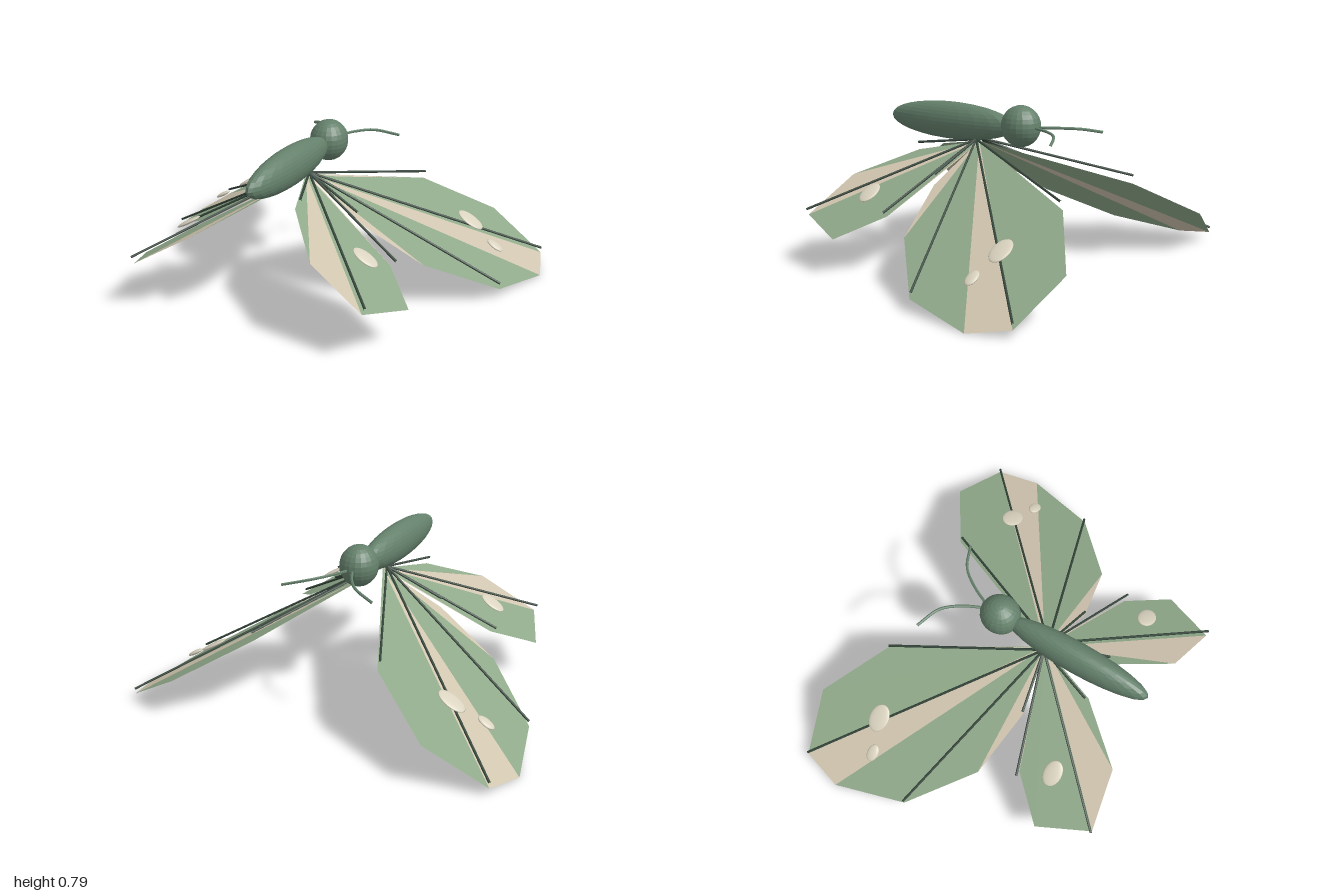
import * as THREE from 'three';

const mat = (color, extra = {}) => new THREE.MeshStandardMaterial({ color, ...extra });
const V = (a) => new THREE.Vector3(...a);

// Wing outlines as [x, z], veins as end points [x, y, z], spots as [x, y, z, rx, rz]
const WINGS = {
  foreWing: {
    outline: [[0.09, -0.02], [0.33, -0.55], [0.65, -0.765], [0.94, -0.69], [1, -0.49], [0.905, -0.13], [0.615, 0.13], [0.3, 0.195]],
    veins: [[0.34, 0.432, -0.545], [0.94, 0.062, -0.69], [0.905, 0.083, -0.135], [0.3, 0.46, 0.195]],
    spots: [[0.64, 0.258, -0.427, 0.074, 0.05], [0.79, 0.165, -0.38, 0.046, 0.029]],
  },
  hindWing: {
    outline: [[0.12, 0.17], [0.52, 0.31], [0.695, 0.5], [0.585, 0.755], [0.31, 0.7], [0.1, 0.44]],
    veins: [[0.55, 0.305, 0.31], [0.6, 0.272, 0.755], [0.12, 0.568, 0.43]],
    spots: [[0.465, 0.368, 0.462, 0.068, 0.045]],
  },
};
const SLOPE = 0.585;

export function createModel() {
  const model = new THREE.Group();
  const bodyMat = mat(0x64806b, { flatShading: true });
  const veinMat = mat(0x35463b);
  const greenMat = mat(0x8fa889, { side: THREE.DoubleSide });
  const creamMat = mat(0xcfc4ae, { side: THREE.DoubleSide });
  const spotMat = mat(0xd9d2bf);

  const add = (parent, name, geometry, material) => {
    const mesh = new THREE.Mesh(geometry, material);
    mesh.name = name;
    parent.add(mesh);
    return mesh;
  };

  // Body and head
  const body = add(model, 'body', new THREE.SphereGeometry(1, 24, 16), bodyMat);
  body.scale.set(0.072, 0.094, 0.38);
  body.position.set(0, 0.674, 0.31);
  const head = add(model, 'head', new THREE.SphereGeometry(1, 20, 14), bodyMat);
  head.scale.set(0.094, 0.102, 0.1);
  head.position.set(0, 0.683, -0.107);

  // Fan of triangles from the wing root; every third one is cream
  const membrane = (outline, s, cream) => {
    const root = [0, 0.585, 0.14];
    const at = ([x, z]) => [s * x, 0.585 - SLOPE * x, z];
    const pos = [];
    outline.forEach((p, i) => {
      if (i === outline.length - 1 || (i % 3 === 0) !== cream) return;
      const a = at(p), b = at(outline[i + 1]);
      pos.push(...root, ...(s > 0 ? b : a), ...(s > 0 ? a : b));
    });
    const geometry = new THREE.BufferGeometry();
    geometry.setAttribute('position', new THREE.Float32BufferAttribute(pos, 3));
    geometry.computeVertexNormals();
    return geometry;
  };

  for (const s of [1, -1]) {
    const side = s > 0 ? 'left' : 'right';
    for (const [name, wing] of Object.entries(WINGS)) {
      const group = new THREE.Group();
      group.name = `${side} ${name}`;
      model.add(group);
      add(group, 'greenPanels', membrane(wing.outline, s, false), greenMat);
      add(group, 'creamPanels', membrane(wing.outline, s, true), creamMat);

      // Straight veins lying just above the membrane
      for (const [x, y, z] of wing.veins) {
        const line = new THREE.LineCurve3(V([s * 0.02, 0.596, 0.145]), V([s * x, y, z]));
        add(group, 'vein', new THREE.TubeGeometry(line, 1, 0.006, 6), veinMat);
      }

      // Flattened spots tilted with the wing
      for (const [x, y, z, rx, rz] of wing.spots) {
        const spot = add(group, 'spot', new THREE.SphereGeometry(1, 20, 10), spotMat);
        spot.scale.set(rx, 0.01, rz);
        spot.rotation.z = -s * Math.atan(SLOPE);
        spot.position.set(s * x, y, z);
      }
    }

    // Curved antenna
    const path = new THREE.CatmullRomCurve3([
      [0.01, 0.682, -0.19], [0.06, 0.682, -0.29], [0.125, 0.676, -0.37], [0.24, 0.65, -0.423],
    ].map(([x, y, z]) => V([s * x, y, z])));
    add(model, `${side} antenna`, new THREE.TubeGeometry(path, 16, 0.007, 6), bodyMat);
  }
  return model;
}
